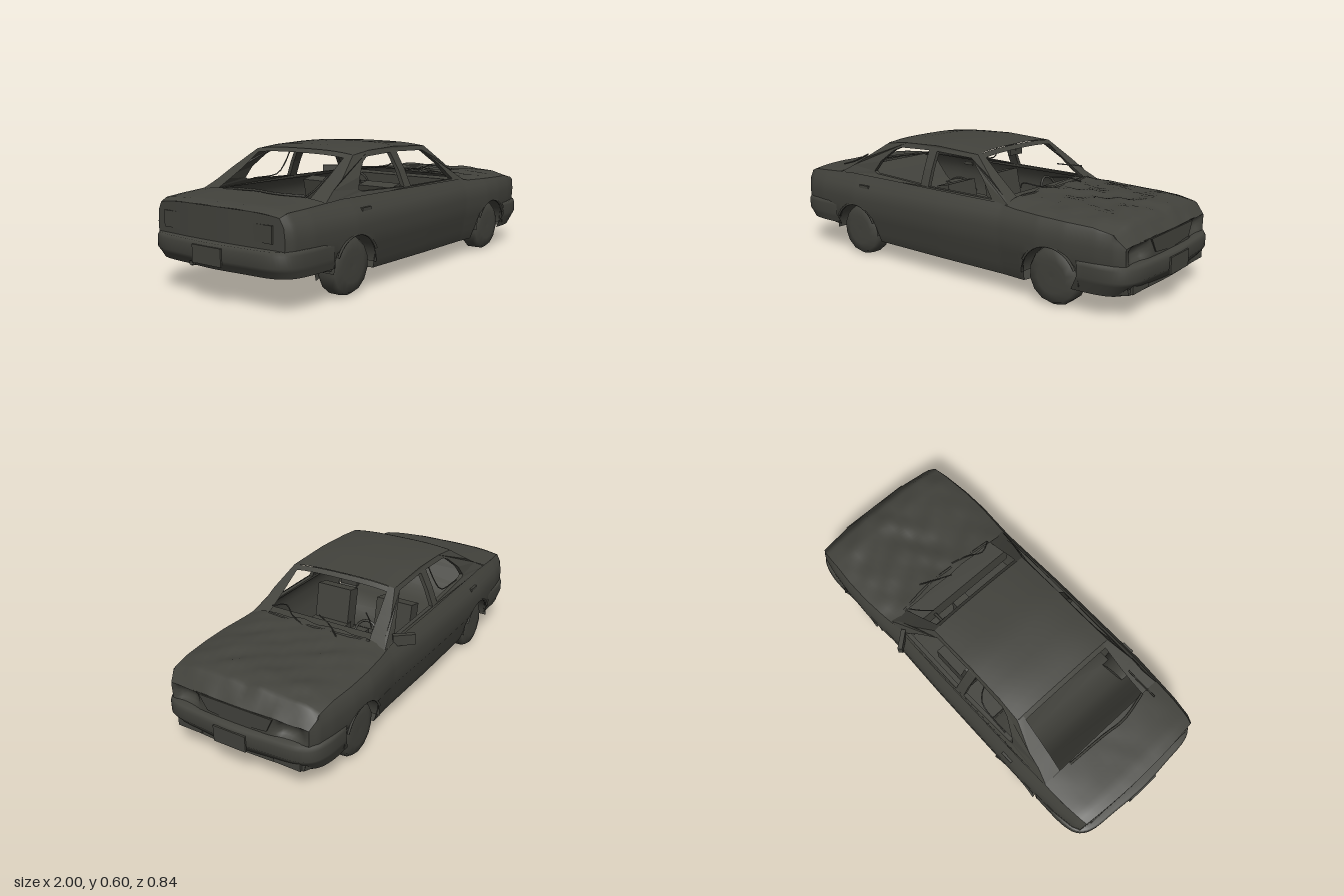
import * as THREE from 'three';

const paint = new THREE.MeshStandardMaterial({ color: 0x42423c, side: THREE.DoubleSide });
paint.name = 'dark olive grey';
const CZ = 0.01; // lateral centre of the body
const AXLES = [-0.545, 0.61];
const NOSE = 0.937, TAIL = -0.935;

// Piecewise-linear lookup in a list of [key, value] pairs
function lookup(table, k) {
  if (k <= table[0][0]) return table[0][1];
  for (let i = 1; i < table.length; i++) {
    const [a, va] = table[i - 1], [b, vb] = table[i];
    if (k <= b) return va + (vb - va) * (k - a) / (b - a);
  }
  return table[table.length - 1][1];
}
const clamp = THREE.MathUtils.clamp, lerp = THREE.MathUtils.lerp;

// Body lines: half width along x, tuck by height, shoulder height, crown, underside, cabin lean
const base = x => lookup([[TAIL, 0.36], [-0.9, 0.377], [-0.8, 0.392], [-0.55, 0.408], [0, 0.405], [0.35, 0.396], [0.55, 0.407], [0.68, 0.403], [0.82, 0.388], [0.9, 0.372], [NOSE, 0.35]], x);
const tuck = y => lookup([[0.07, 0.88], [0.13, 0.94], [0.2, 0.968], [0.215, 0.988], [0.29, 1], [0.34, 0.985], [0.38, 0.925], [0.42, 0.87]], y);
const shoulder = x => lookup([[TAIL, 0.375], [-0.9, 0.39], [-0.6, 0.408], [-0.3, 0.405], [0.3, 0.395], [0.42, 0.382], [0.8, 0.367], [0.89, 0.35], [NOSE, 0.3]], x);
const crown = x => lookup([[TAIL, 0.015], [-0.7, 0.015], [0.38, 0.028], [0.88, 0.03], [NOSE, 0.012]], x);
const under = x => lookup([[TAIL, 0.165], [-0.68, 0.13], [-0.42, 0.09], [0.49, 0.075], [0.75, 0.1], [NOSE, 0.105]], x);
const halfW = (x, y) => base(x) * tuck(y);
const sideZ = (x, y) => base(x) * lookup([[0.39, 0.905], [0.42, 0.84], [0.48, 0.795], [0.575, 0.67]], y);
const LEVELS = [0.07, 0.13, 0.2, 0.215, 0.255, 0.29, 0.32, 0.35, 0.38, 0.45];

// Bows the nose and tail outwards in plan
function place(x, y, z) {
  const k = clamp((Math.abs(x) - 0.85) / 0.086, 0, 1);
  return [x + Math.sign(x) * k * 0.02 * Math.max(0, 1 - (z / 0.36) ** 2), y, z + CZ];
}
// Surface from a rule over two indices
function grid(nu, nv, fn) {
  const pos = [], idx = [];
  for (let i = 0; i <= nu; i++) for (let j = 0; j <= nv; j++) pos.push(...fn(i / nu, j / nv, i, j));
  for (let i = 0; i < nu; i++) for (let j = 0; j < nv; j++) {
    const a = i * (nv + 1) + j, b = a + nv + 1;
    idx.push(a, b, a + 1, b, b + 1, a + 1);
  }
  const g = new THREE.BufferGeometry();
  g.setAttribute('position', new THREE.Float32BufferAttribute(pos, 3));
  g.setIndex(idx);
  g.computeVertexNormals();
  return g;
}
const points = list => list.map(p => new THREE.Vector2(...p));

export function createModel() {
  const car = new THREE.Group();
  car.name = 'wreckedSedan';
  const add = (name, geo, x = 0, y = 0, z = 0) => {
    const m = new THREE.Mesh(geo, paint);
    m.name = name;
    m.position.set(x, y, z);
    car.add(m);
    return m;
  };
  const box = (name, sx, sy, sz, x, y, z) => add(name, new THREE.BoxGeometry(sx, sy, sz), x, y, z);
  const rod = (name, r, pts) => add(name, new THREE.TubeGeometry(new THREE.CatmullRomCurve3(pts.map(p => new THREE.Vector3(...p))), 10, r, 5));

  // Lower edge of the body side, with round wheel openings
  const lowerEdge = x => {
    let y = under(x);
    for (const c of AXLES) if (Math.abs(x - c) < 0.14) y = Math.max(y, 0.12 + Math.sqrt(0.14 ** 2 - (x - c) ** 2));
    return y;
  };
  for (const s of [1, -1]) {
    const side = s > 0 ? 'left' : 'right';
    add(side + 'BodySide', grid(150, LEVELS.length - 1, (u, v, i, j) => {
      const x = lerp(TAIL, NOSE, u), y = clamp(LEVELS[j], lowerEdge(x), shoulder(x));
      return place(x, y, s * halfW(x, y));
    }));

    // Cabin side with two open windows, leaning inwards with height
    const shape = new THREE.Shape(points([[-0.7, 0.395], [-0.62, 0.44], [-0.55, 0.48], [-0.42, 0.565], [-0.3, 0.577], [-0.1, 0.582], [0.14, 0.568], [0.25, 0.48], [0.33, 0.42], [0.38, 0.385]]));
    for (const h of [
      [[-0.46, 0.43], [-0.44, 0.42], [-0.14, 0.408], [-0.143, 0.48], [-0.15, 0.558], [-0.33, 0.553], [-0.37, 0.535], [-0.43, 0.48]],
      [[-0.09, 0.405], [0.28, 0.4], [0.26, 0.42], [0.2, 0.48], [0.11, 0.55], [-0.1, 0.558], [-0.095, 0.48]]
    ]) shape.holes.push(new THREE.Path(points(h)));
    const cabin = new THREE.ExtrudeGeometry(shape, { depth: 0.02, bevelEnabled: false });
    const p = cabin.attributes.position;
    for (let i = 0; i < p.count; i++) p.setZ(i, CZ + s * (sideZ(p.getX(i), p.getY(i)) - p.getZ(i)));
    if (s > 0) for (let i = 0; i < p.count; i += 3) { // keep the depth-flipped faces outwards
      const a = [p.getX(i), p.getY(i), p.getZ(i)];
      p.setXYZ(i, p.getX(i + 1), p.getY(i + 1), p.getZ(i + 1));
      p.setXYZ(i + 1, ...a);
    }
    cabin.computeVertexNormals();
    add(side + 'CabinSide', cabin);

    // Pillar faces beside the windscreen and the rear window
    const pillar = (name, line) => add(side + name, grid(line.length - 1, 1, (u, v, i) => {
      const [x, y, inner] = line[i];
      return [x, y + v * 0.004, CZ + s * lerp(sideZ(x, y), inner, v)];
    }));
    pillar('FrontPillar', [[0.14, 0.568, 0.24], [0.25, 0.48, 0.255], [0.33, 0.42, 0.265], [0.38, 0.385, 0.275]]);
    pillar('RearPillar', [[-0.42, 0.565, 0.245], [-0.55, 0.48, 0.252], [-0.62, 0.44, 0.257], [-0.7, 0.395, 0.265]]);

    // Wheels, arch lips and inner wells
    for (const [i, c] of AXLES.entries()) {
      const end = i ? 'Front' : 'Rear';
      const tyre = new THREE.LatheGeometry(points([[0, -0.04], [0.125, -0.04], [0.126, -0.036], [0.126, 0.012], [0.113, 0.034], [0.07, 0.043], [0, 0.04]]), 14);
      tyre.rotateX(s * Math.PI / 2);
      add(side + end + 'Wheel', tyre, c, 0.125, CZ + s * 0.332);
      const lip = new THREE.TorusGeometry(0.142, 0.006, 5, 16, Math.PI * 0.7);
      lip.rotateZ(Math.PI * 0.15);
      add(side + end + 'ArchLip', lip, c, 0.12, CZ + s * (halfW(c, 0.25) - 0.005));
      const well = new THREE.CylinderGeometry(0.142, 0.142, 0.1, 16, 1, true, -Math.PI / 2, Math.PI);
      well.rotateX(-Math.PI / 2);
      add(side + end + 'WheelWell', well, c, 0.12, CZ + s * 0.34);
      add(side + end + 'WellWall', new THREE.CircleGeometry(0.142, 20, -0.3, Math.PI + 0.6), c, 0.12, CZ + s * 0.29);
    }
    // Tail lamp, rear door handle and lower intake
    box(side + 'TailLamp', 0.008, 0.07, 0.13, -0.944, 0.31, CZ + s * 0.24);
    box(side + 'LowerIntake', 0.012, 0.04, 0.13, 0.95, 0.13, CZ + s * 0.25);
    box(side + 'DoorHandle', 0.06, 0.014, 0.012, -0.48, 0.357, CZ + s * (halfW(-0.48, 0.357) + 0.001));
    // Front seats, kept below the window line
    box(side + 'SeatCushion', 0.2, 0.09, 0.2, 0.06, 0.19, CZ + s * 0.17);
    box(side + 'SeatBack', 0.07, 0.22, 0.19, -0.06, 0.29, CZ + s * 0.17).rotation.z = 0.2;
  }

  // Bonnet with buckled metal, boot lid and roof
  const deck = (name, x0, x1, n, dent) => add(name, grid(n, 20, (u, v) => {
    const x = lerp(x0, x1, u), t = v * 2 - 1, y = shoulder(x), fall = 1 - t ** 4;
    const wave = Math.sin(x * 23 + Math.sin(t * 7) * 2) * Math.cos(t * 6 + x * 5) + 0.5 * Math.sin(x * 47 - t * 13);
    return place(x, y + crown(x) * fall + dent * fall * wave, t * halfW(x, y));
  }));
  deck('buckledBonnet', 0.36, NOSE, 36, 0.007);
  deck('bootLid', TAIL, -0.69, 8, 0.001);
  add('roof', grid(10, 12, (u, v) => {
    const x = lerp(-0.42, 0.14, u), t = v * 2 - 1;
    const y = lookup([[-0.42, 0.565], [-0.3, 0.577], [-0.1, 0.582], [0.14, 0.568]], x);
    return [x, y + 0.014 * (1 - Math.abs(t) ** 3), CZ + t * sideZ(x, y)];
  }));
  for (const [name, x, dx] of [['windscreenHeader', 0.14, 0.02], ['rearWindowHeader', -0.42, -0.02]])
    add(name, grid(8, 1, (u, v) => {
      const t = u * 2 - 1;
      return [x + dx * v, 0.567 + 0.013 * (1 - Math.abs(t) ** 3) - 0.018 * v, CZ + t * 0.272];
    }));

  // Nose with smashed headlamp sockets, tail and underside panels
  for (const [name, x] of [['nosePanel', NOSE], ['tailPanel', TAIL]])
    add(name, grid(32, 12, (u, v) => {
      const t = u * 2 - 1, y = lerp(under(x), shoulder(x) + crown(x) * (1 - t ** 4), v);
      const socket = Math.exp(-(((Math.abs(t) - 0.74) / 0.17) ** 4) - ((y - 0.265) / 0.032) ** 4);
      return place(x - (x > 0 ? 0.03 * socket : 0), y, t * halfW(x, Math.min(y, shoulder(x))));
    }));
  add('underside', grid(90, 4, (u, v) => {
    const x = lerp(TAIL, NOSE, u), t = v * 2 - 1;
    const w = AXLES.some(c => Math.abs(x - c) < 0.142) ? 0.29 : halfW(x, under(x));
    return place(x, under(x), t * w);
  }));

  // Wrap-around bumpers standing proud of the body
  for (const [name, s, start, lift] of [['frontBumper', 1, 0.745, 0], ['rearBumper', -1, 0.69, 0.022]]) {
    const half = [[start, 0.396], [0.86, 0.392], [0.93, 0.37], [0.967, 0.32], [0.985, 0.16]];
    const plan = [...half, [0.995, 0], ...half.map(([x, z]) => [x, -z]).reverse()];
    const curve = new THREE.CatmullRomCurve3(plan.map(([x, z]) => new THREE.Vector3(x, 0, z)));
    const lip = [[0.23, 0.05], [0.227, 0.008], [0.21, 0], [0.165, 0], [0.148, 0.012], [0.098 + lift, 0.05 - lift]];
    add(name, grid(40, lip.length - 1, (u, v, i, j) => {
      const q = curve.getPoint(u), [y, inset] = lip[j];
      return [s * q.x * (1 - inset), y + lift, CZ + q.z * (1 - inset)];
    }));
  }
  const grille = new THREE.Shape(points([[-0.18, 0.308], [-0.14, 0.245], [0, 0.23], [0.16, 0.245], [0.19, 0.308]]));
  const grilleGeo = new THREE.ExtrudeGeometry(grille, { depth: 0.008, bevelEnabled: false });
  grilleGeo.rotateY(Math.PI / 2);
  add('grille', grilleGeo, 0.951, 0, CZ);
  box('frontPlate', 0.008, 0.074, 0.162, 0.995, 0.177, CZ);
  box('rearPlate', 0.008, 0.074, 0.162, -0.995, 0.2, CZ);
  rod('exhaustPipe', 0.012, [[-0.82, 0.148, -0.1], [-0.9, 0.15, -0.1], [-0.98, 0.153, -0.1]]);

  // Cabin fittings
  box('dashboard', 0.1, 0.1, 0.62, 0.33, 0.345, CZ);
  box('centreConsole', 0.34, 0.1, 0.08, 0.14, 0.18, CZ);
  const bench = [[-0.71, 0.405], [-0.66, 0.36], [-0.6, 0.29], [-0.54, 0.24], [-0.45, 0.215], [-0.28, 0.21], [-0.25, 0.1]];
  add('rearBench', grid(bench.length - 1, 1, (u, v, i) => [...bench[i], CZ + (v * 2 - 1) * 0.33]));
  const wheel = add('steeringWheel', new THREE.TorusGeometry(0.055, 0.006, 6, 18), 0.22, 0.355, -0.16);
  wheel.rotation.set(0, Math.PI / 2, 0.4, 'ZYX');
  rod('steeringColumn', 0.008, [[0.22, 0.355, -0.16], [0.26, 0.345, -0.16], [0.3, 0.335, -0.16]]);
  box('rearViewMirror', 0.015, 0.03, 0.088, 0.12, 0.541, -0.015);
  box('mirrorStem', 0.01, 0.03, 0.01, 0.125, 0.562, -0.015);

  // Single door mirror on the driver side, folded back
  box('doorMirror', 0.022, 0.05, 0.1, 0.26, 0.398, -0.378).rotation.y = 0.7;

  // Bent wipers and torn trim around the windows
  rod('leftWiper', 0.003, [[0.4, 0.415, 0.06], [0.37, 0.432, 0.14], [0.33, 0.452, 0.2], [0.36, 0.445, 0.26]]);
  rod('rightWiper', 0.003, [[0.42, 0.415, -0.13], [0.38, 0.44, -0.07], [0.34, 0.45, 0.01]]);
  rod('looseScreenTrim', 0.003, [[0.34, 0.46, -0.26], [0.29, 0.465, -0.22], [0.25, 0.472, -0.18]]);
  rod('cowlTrim', 0.006, [[0.37, 0.408, -0.27], [0.39, 0.415, -0.1], [0.385, 0.41, 0.1], [0.37, 0.41, 0.27]]);
  rod('rearWindowTrim', 0.006, [[-0.7, 0.415, -0.2], [-0.71, 0.425, 0], [-0.72, 0.422, 0.12], [-0.69, 0.42, 0.27]]);
  rod('looseRearTrim', 0.004, [[-0.74, 0.425, 0.3], [-0.66, 0.45, 0.29], [-0.58, 0.49, 0.28]]);
  rod('hangingBelt', 0.003, [[-0.2, 0.55, -0.26], [-0.21, 0.48, -0.29], [-0.24, 0.43, -0.31], [-0.4, 0.42, -0.32]]);
  return car;
}
